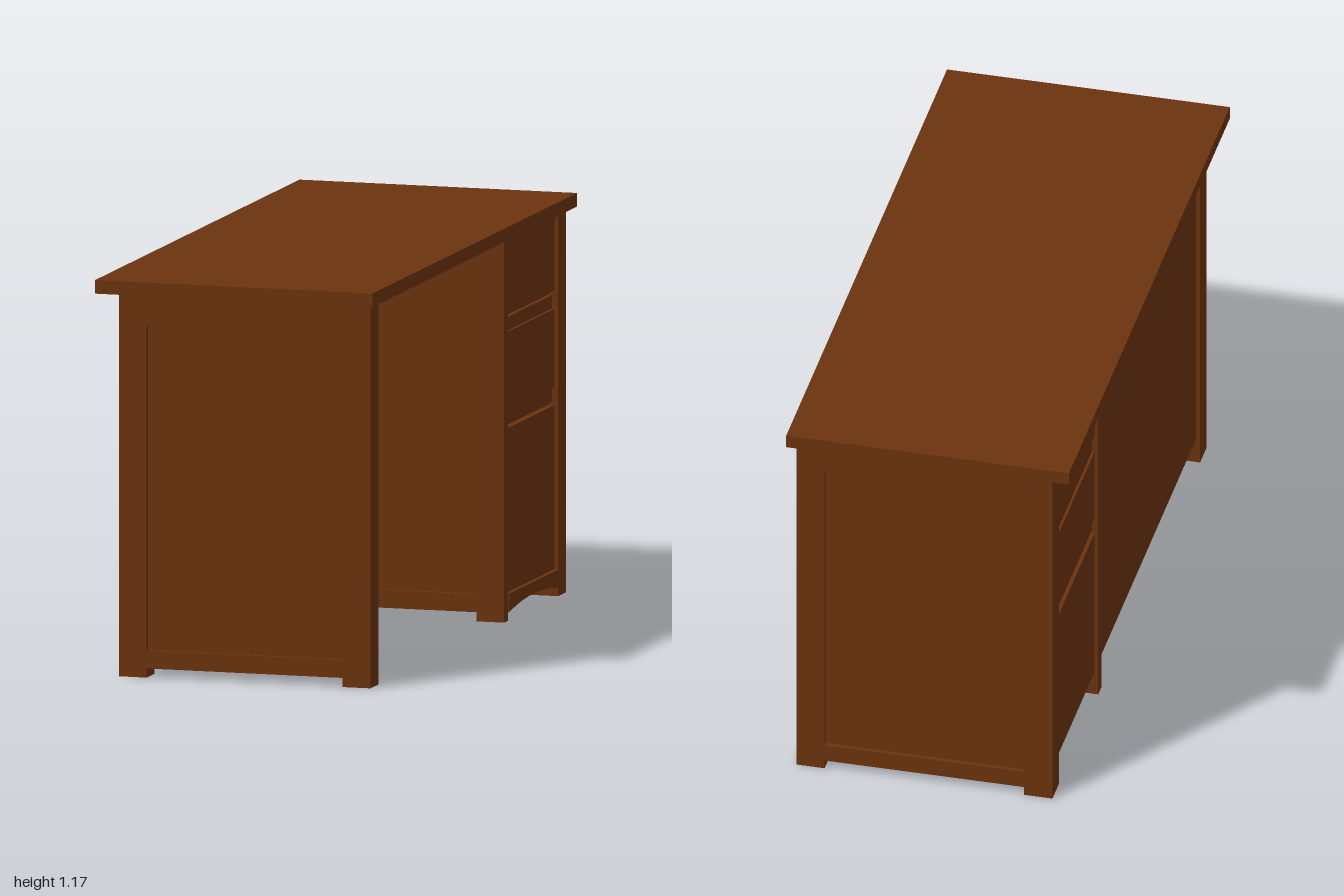
import * as THREE from 'three';

export function createModel() {
  const desk = new THREE.Group();
  desk.name = 'desk';
  const wood = new THREE.MeshStandardMaterial({ color: 0x6b330e });

  // box given by its lower and upper corners
  function slab(parent, name, [x0, y0, z0], [x1, y1, z1]) {
    const mesh = new THREE.Mesh(new THREE.BoxGeometry(x1 - x0, y1 - y0, z1 - z0), wood);
    mesh.position.set((x0 + x1) / 2, (y0 + y1) / 2, (z0 + z1) / 2);
    mesh.name = name;
    parent.add(mesh);
  }

  const TOP = 1.135, BACK = -0.365, FRONT = 0.405;

  // framed wall: two legs, two rails and a panel set back from its outer face
  function framedWall(name, z0, z1, outward) {
    const wall = new THREE.Group();
    wall.name = name;
    const inL = BACK + 0.085, inR = FRONT - 0.085;
    slab(wall, 'backLeg', [BACK, 0, z0], [inL, TOP, z1]);
    slab(wall, 'frontLeg', [inR, 0, z0], [FRONT, TOP, z1]);
    slab(wall, 'topRail', [inL, 1.04, z0], [inR, TOP, z1]);
    slab(wall, 'bottomRail', [inL, 0.027, z0], [inR, 0.08, z1]);
    const inset = 0.014;
    slab(wall, 'insetPanel', [inL, 0.08, outward > 0 ? z0 : z0 + inset],
      [inR, 1.04, outward > 0 ? z1 - inset : z1]);
    desk.add(wall);
  }

  slab(desk, 'tabletop', [-0.425, TOP, -1], [0.425, 1.175, 1]);
  framedWall('openEndWall', 0.878, 0.957, 1);
  framedWall('pedestalInnerWall', -0.388, -0.35, 1);
  framedWall('pedestalEndWall', -0.957, -0.878, -1);
  slab(desk, 'modestyPanel', [-0.353, 0.08, -0.35], [-0.335, TOP, 0.878]);

  // pedestal faces: three drawer fronts with set-back rails between
  const zA = -0.878, zB = -0.388;
  function drawerFace(name, outer, dir) {
    const face = new THREE.Group();
    face.name = name;
    const span = (d0, d1) => [outer - dir * d0, outer - dir * d1].sort((a, b) => a - b);
    const [f0, f1] = span(0.01, 0.03);
    [[0.905, TOP], [0.617, 0.85], [0.08, 0.565]].forEach(([y0, y1]) =>
      slab(face, 'drawerFront', [f0, y0, zA + 0.004], [f1, y1, zB - 0.004]));
    const [r0, r1] = span(0.018, 0.036);
    [[0.85, 0.89], [0.575, 0.617]].forEach(([y0, y1]) =>
      slab(face, 'drawerRail', [r0, y0, zA], [r1, y1, zB]));
    // thin backing closes the gaps around the drawers
    const [b0, b1] = span(0.03, 0.04);
    slab(face, 'backing', [b0, 0.08, zA], [b1, TOP, zB]);
    desk.add(face);
  }
  drawerFace('frontDrawers', FRONT, 1);
  drawerFace('backDrawers', BACK, -1);

  // arched apron, drawn along z and extruded through x
  const half = (zB - zA) / 2;
  const arch = new THREE.Shape();
  arch.moveTo(-half, 0.08);
  arch.lineTo(-half, 0.025);
  arch.quadraticCurveTo(0, 0.065, half, 0.025);
  arch.lineTo(half, 0.08);
  arch.closePath();
  const apronGeometry = new THREE.ExtrudeGeometry(arch, { depth: 0.02, bevelEnabled: false, curveSegments: 16 });
  apronGeometry.rotateY(Math.PI / 2);
  const apron = new THREE.Mesh(apronGeometry, wood);
  apron.name = 'archedApron';
  apron.position.set(0.388, 0, (zA + zB) / 2);
  desk.add(apron);

  // matching inverted apron under the tabletop at the back
  const upperApron = new THREE.Mesh(apronGeometry, wood);
  upperApron.name = 'upperApron';
  upperApron.rotation.z = Math.PI;
  upperApron.position.set(-0.348, 1.16, (zA + zB) / 2);
  desk.add(upperApron);

  return desk;
}
